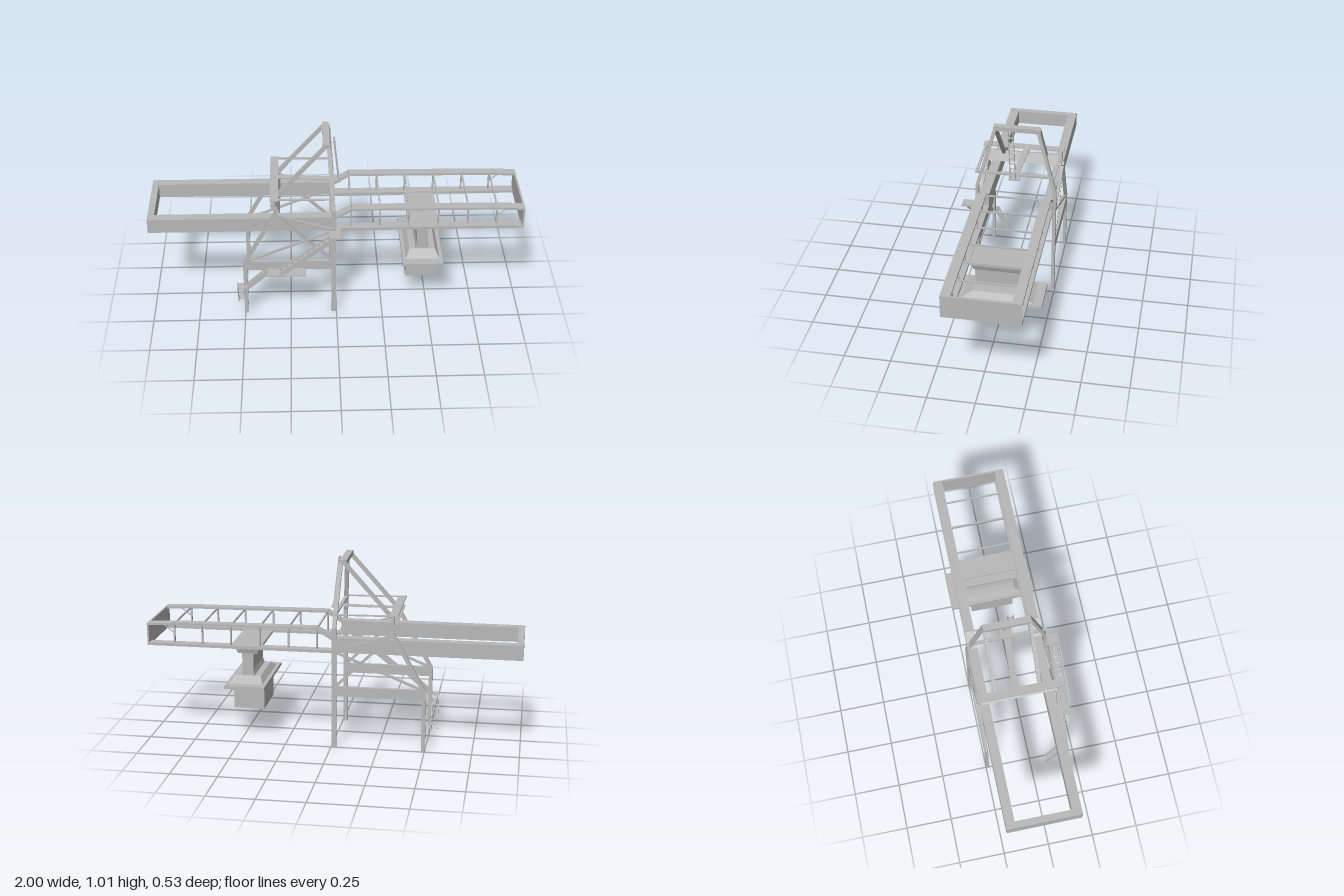
import * as THREE from 'three';

const steel = new THREE.MeshStandardMaterial({ color: 0xb8b8b8 });
steel.name = 'grey steel';
const V = (x, y, z) => new THREE.Vector3(x, y, z);

export function createModel() {
  const root = new THREE.Group();
  root.name = 'quayCrane';

  const add = (name, geo) => {
    const m = new THREE.Mesh(geo, steel);
    m.name = name;
    root.add(m);
    return m;
  };

  // box given by its limits on each axis
  const box = (name, x0, x1, y0, y1, z0, z1) => {
    const m = add(name, new THREE.BoxGeometry(x1 - x0, y1 - y0, z1 - z0));
    m.position.set((x0 + x1) / 2, (y0 + y1) / 2, (z0 + z1) / 2);
    return m;
  };

  // straight bar between two points: depth along `side`, thick across it
  const bar = (name, a, b, thick, depth, side = V(0, 0, 1)) => {
    const dir = b.clone().sub(a);
    const m = add(name, new THREE.BoxGeometry(thick, dir.length(), depth));
    const y = dir.normalize();
    const x = y.clone().cross(side).normalize();
    const z = x.clone().cross(y);
    m.quaternion.setFromRotationMatrix(new THREE.Matrix4().makeBasis(x, y, z));
    m.position.copy(a).add(b).multiplyScalar(0.5);
    return m;
  };

  // box whose top and bottom have different sizes
  const taper = (name, cx, cz, y0, y1, w0, d0, w1, d1) => {
    const geo = new THREE.BoxGeometry(1, y1 - y0, 1);
    const p = geo.attributes.position;
    for (let i = 0; i < p.count; i++) {
      const top = p.getY(i) > 0;
      p.setX(i, p.getX(i) * (top ? w1 : w0));
      p.setZ(i, p.getZ(i) * (top ? d1 : d0));
    }
    geo.computeVertexNormals();
    add(name, geo).position.set(cx, (y0 + y1) / 2, cz);
  };

  // rear boom: two deep girders closed by an end beam
  const girders = [[-0.235, -0.185], [0.113, 0.165]];
  for (const [z0, z1] of girders) box('rearGirder', -1, 0, 0.525, 0.605, z0, z1);
  box('rearEndBeam', -1, -0.965, 0.525, 0.605, -0.185, 0.113);

  // front boom: open truss with flat chords, posts and cross ties
  const posts = [0.08, 0.233, 0.387, 0.545, 0.702, 0.855];
  const topY = x => x < 0.85 ? 0.65 - (x - 0.08) * 0.008 : 0.644 - (x - 0.85) * 0.05;
  for (const [z0, z1] of girders) {
    const zc = (z0 + z1) / 2, w = z1 - z0;
    box('bottomChord', 0, 1, 0.52, 0.535, z0, z1);
    bar('chordRise', V(-0.01, 0.593, zc), V(0.082, topY(0.08), zc), 0.014, w);
    bar('topChord', V(0.08, topY(0.08), zc), V(0.85, topY(0.85), zc), 0.012, w);
    bar('topChordTip', V(0.85, topY(0.85), zc), V(0.998, topY(1), zc), 0.012, w);
    for (const x of posts) box('trussPost', x - 0.004, x + 0.004, 0.53, topY(x), zc - 0.006, zc + 0.006);
    bar('tipBrace', V(0.857, 0.59, zc), V(0.92, 0.637, zc), 0.004, 0.006);
  }
  for (const x of posts) box('crossTie', x - 0.004, x + 0.004, topY(x) - 0.008, topY(x), -0.19, 0.12);
  box('tipPlate', 0.99, 1, 0.52, 0.642, -0.235, 0.165);

  // trolley and hanging load
  const tx = 0.468, tz = -0.032;
  box('trolleyDeck', 0.385, 0.55, 0.518, 0.53, -0.19, 0.12);
  taper('trolleyBlock', tx, tz, 0.475, 0.52, 0.105, 0.26, 0.14, 0.285);
  taper('hoistColumn', tx, tz, 0.36, 0.475, 0.055, 0.25, 0.065, 0.25);
  taper('columnFoot', tx, tz, 0.348, 0.385, 0.075, 0.25, 0.055, 0.25);
  taper('spreaderCap', tx, tz, 0.32, 0.352, 0.18, 0.37, 0.14, 0.27);
  box('spreaderPlate', 0.358, 0.577, 0.303, 0.32, -0.265, 0.203);
  box('hangingBox', 0.382, 0.55, 0.162, 0.303, -0.15, 0.09);

  // portal frame, one side at a time
  for (const s of [1, -1]) {
    const at = d => -0.031 + s * d;
    const z = at(0.211), zi = at(0.118);
    box('frontLeg', -0.026, -0.003, 0, 0.66, z - 0.009, z + 0.009);
    bar('mastLeg', V(-0.015, 0.65, z), V(-0.036, 0.985, zi), 0.022, 0.018);
    box('rearLeg', -0.503, -0.482, 0, 0.345, z - 0.009, z + 0.009);
    bar('rearRaker', V(-0.493, 0.335, z), V(-0.318, 0.65, z), 0.02, 0.018);
    box('sideBeam', -0.5, -0.005, 0.288, 0.342, z - 0.009, z + 0.009);
    bar('longBrace', V(-0.322, 0.635, z), V(-0.022, 0.34, z), 0.014, 0.014);
    bar('upperBrace', V(-0.322, 0.63, z), V(-0.02, 0.535, z), 0.014, 0.014);
    bar('lowerBrace', V(-0.485, 0.34, z), V(-0.02, 0.53, z), 0.012, 0.012);
    bar('backStay', V(-0.05, 0.995, zi), V(-0.325, 0.685, zi), 0.02, 0.018);
  }
  box('apexBeam', -0.068, -0.032, 0.982, 1.006, -0.155, 0.094);
  bar('rearCrossBeam', V(-0.31, 0.638, -0.031), V(-0.335, 0.695, -0.031), 0.03, 0.41);

  // upper walkway and mast ladder
  box('rearCatwalk', -0.35, -0.305, 0.73, 0.737, -0.25, 0.2);
  for (const z of [-0.235, 0.185]) {
    box('catwalkSupport', -0.333, -0.32, 0.65, 0.735, z - 0.006, z + 0.006);
    bar('sideCatwalk', V(-0.33, 0.735, z), V(-0.015, 0.73, z), 0.006, 0.014);
  }
  bar('centreWalkway', V(-0.33, 0.735, -0.045), V(0.0, 0.729, -0.025), 0.006, 0.035);
  box('ladderLanding', -0.02, 0.028, 0.722, 0.73, -0.058, 0.003);
  box('mastTie', -0.03, -0.012, 0.727, 0.737, -0.24, 0.18);
  const ladderPoint = (t, d) => V(0.018 - 0.026 * t, 0.727 + 0.263 * t, -0.02 + 0.018 * t + d);
  for (const d of [-0.014, 0.014]) bar('ladderRail', ladderPoint(0, d), ladderPoint(1, d), 0.009, 0.005);
  for (let i = 1; i < 9; i++) {
    bar('ladderRung', ladderPoint(i / 9, -0.014), ladderPoint(i / 9, 0.014), 0.005, 0.005, V(1, 0, 0));
  }

  // stair flight: two stringers with treads, in the x-y plane
  const flight = (a, b, z0, z1, steps) => {
    for (const z of [z0, z1]) {
      bar('stairStringer', V(a[0], a[1], z), V(b[0], b[1], z), 0.024, 0.005);
    }
    for (let i = 0; i <= steps; i++) {
      const x = a[0] + (b[0] - a[0]) * i / steps, y = a[1] + (b[1] - a[1]) * i / steps;
      box('stairTread', x - 0.011, x + 0.011, y - 0.002, y + 0.002, z0, z1);
    }
  };
  flight([-0.02, 0.525], [-0.305, 0.302], 0.222, 0.26, 10);
  flight([-0.365, 0.295], [-0.48, 0.192], 0.185, 0.216, 5);
  box('topLanding', -0.04, 0.02, 0.525, 0.535, 0.165, 0.262);
  box('middleLanding', -0.375, -0.165, 0.292, 0.298, 0.185, 0.26);
  box('lowerLanding', -0.54, -0.475, 0.18, 0.186, 0.165, 0.216);

  // ground stair running towards the back
  for (const x of [-0.54, -0.506]) {
    bar('groundStringer', V(x, 0.183, 0.167), V(x, 0.01, 0.088), 0.016, 0.004, V(1, 0, 0));
  }
  for (let i = 1; i < 7; i++) {
    const y = 0.183 - 0.173 * i / 7, z = 0.167 - 0.079 * i / 7;
    box('groundTread', -0.54, -0.506, y - 0.0015, y + 0.0015, z - 0.006, z + 0.006);
  }
  return root;
}
